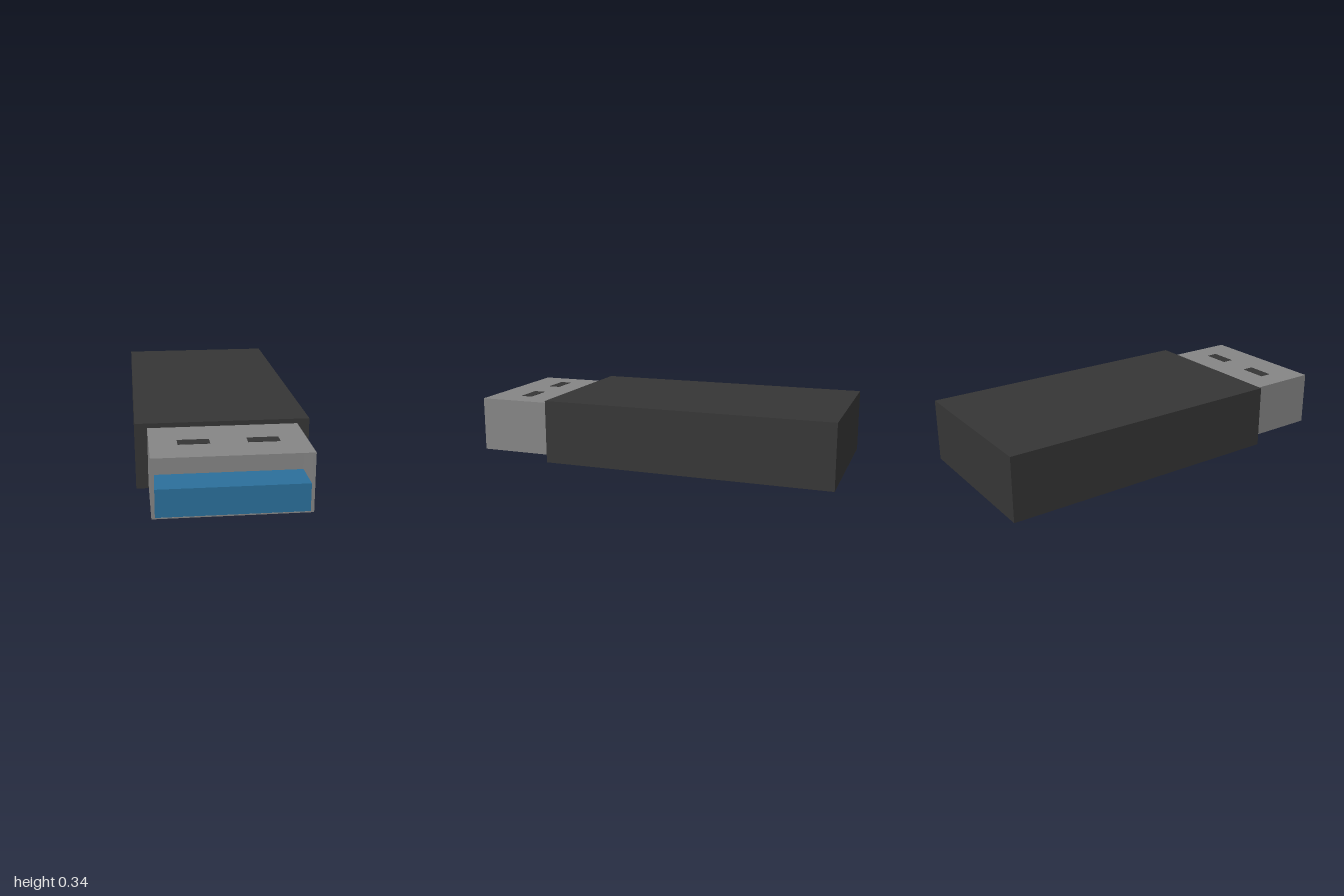
import * as THREE from 'three';

const material = (color) => new THREE.MeshStandardMaterial({ color });

// Box given by its min and max corners
function box(name, [x0, y0, z0], [x1, y1, z1], mat) {
  const mesh = new THREE.Mesh(new THREE.BoxGeometry(x1 - x0, y1 - y0, z1 - z0), mat);
  mesh.position.set((x0 + x1) / 2, (y0 + y1) / 2, (z0 + z1) / 2);
  mesh.name = name;
  return mesh;
}

// Counter-clockwise rectangle outline
function rectangle(PathType, x, y0, y1) {
  const path = new PathType();
  path.moveTo(-x, y0);
  path.lineTo(x, y0);
  path.lineTo(x, y1);
  path.lineTo(-x, y1);
  path.closePath();
  return path;
}

export function createModel() {
  const model = new THREE.Group();
  model.name = 'usbStick';
  const plastic = material(0x353535);
  const metal = material(0x858585);
  const blue = material(0x2b6f9a);

  const bodyFront = 0.575;
  const cavityBack = 0.82;

  // Plastic body
  model.add(box('body', [-0.44, 0, -1], [0.44, 0.345, bodyFront], plastic));

  // Metal plug: solid root and a thin-walled open sleeve
  const plug = new THREE.Group();
  plug.name = 'plug';
  plug.add(box('plugRoot', [-0.378, 0.025, bodyFront], [0.378, 0.321, cavityBack], metal));
  const sleeveShape = rectangle(THREE.Shape, 0.378, 0.025, 0.321);
  sleeveShape.holes.push(rectangle(THREE.Path, 0.362, 0.031, 0.315));
  const sleeve = new THREE.Mesh(
    new THREE.ExtrudeGeometry(sleeveShape, { depth: 1 - cavityBack, bevelEnabled: false }), metal);
  sleeve.position.z = cavityBack;
  sleeve.name = 'plugSleeve';
  plug.add(sleeve);

  // Blue contact tongue filling the lower half of the sleeve
  plug.add(box('contactTongue', [-0.362, 0.031, cavityBack], [0.362, 0.17, 0.999], blue));

  // Pair of dark latch windows on the top face
  for (const side of [-1, 1]) {
    const x = side * 0.167;
    plug.add(box(side > 0 ? 'leftLatchWindow' : 'rightLatchWindow',
      [x - 0.077, 0.317, 0.768], [x + 0.077, 0.3225, 0.832], plastic));
  }
  model.add(plug);
  return model;
}
